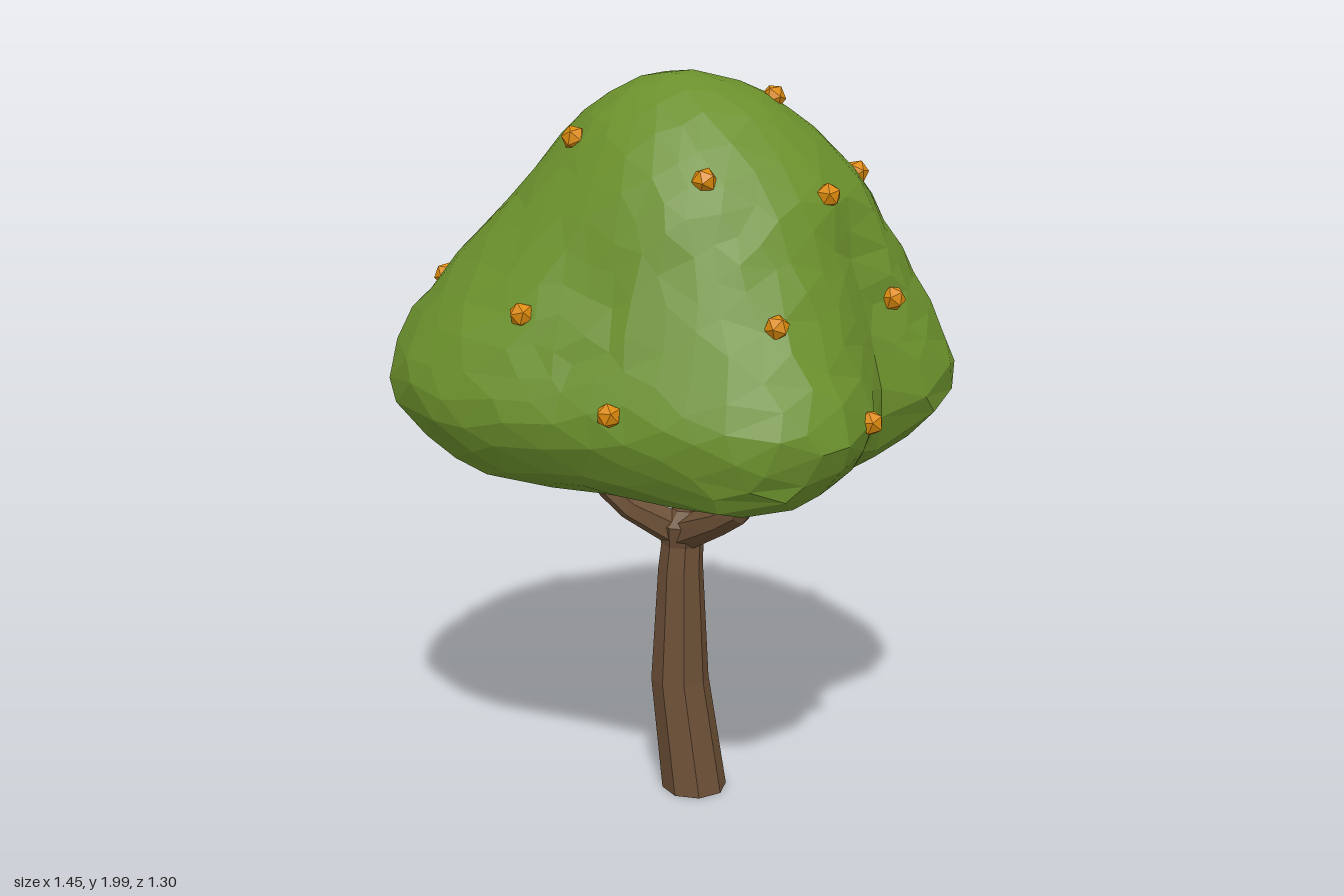
import * as THREE from 'three';
import { mergeVertices } from 'three/addons/utils/BufferGeometryUtils.js';

function flatColour(name, color) {
  const material = new THREE.MeshStandardMaterial({ color, flatShading: true });
  material.name = name;
  return material;
}
const leafGreen = flatColour('leafGreen', 0x6b902c);
const barkBrown = flatColour('barkBrown', 0x6b4f36);
const fruitOrange = flatColour('fruitOrange', 0xdc8a0c);

// Small seeded random generator, -0.5 to 0.5
function makeRandom(seed) {
  return () => {
    seed = (seed * 16807) % 2147483647;
    return seed / 2147483647 - 0.5;
  };
}

// Faceted limb through [x, y, z, radius] points, closed at both ends
function limb(name, points, sides, level = false) {
  const centres = points.map(p => new THREE.Vector3(p[0], p[1], p[2]));
  const up = new THREE.Vector3(0, 1, 0);
  const last = points.length - 1;
  const rings = [];
  points.forEach((p, i) => {
    const tangent = centres[Math.min(i + 1, last)].clone()
      .sub(centres[Math.max(i - 1, 0)]).normalize();
    const turn = new THREE.Quaternion();
    if (!level) turn.setFromUnitVectors(up, tangent);
    const ring = { centre: centres[i], radius: p[3], turn };
    if (i === 0) rings.push({ ...ring, radius: 0 });
    rings.push(ring);
    if (i === last) rings.push({ ...ring, radius: 0 });
  });
  const pos = [], index = [];
  rings.forEach((ring, i) => {
    for (let j = 0; j < sides; j++) {
      const a = ((j + 0.3) / sides) * Math.PI * 2;
      const v = new THREE.Vector3(Math.cos(a), 0, Math.sin(a)).multiplyScalar(ring.radius);
      pos.push(...v.applyQuaternion(ring.turn).add(ring.centre).toArray());
      if (i === 0) continue;
      const k = (j + 1) % sides, lo = (i - 1) * sides, hi = i * sides;
      index.push(lo + j, hi + j, lo + k, hi + j, hi + k, lo + k);
    }
  });
  const geo = new THREE.BufferGeometry();
  geo.setAttribute('position', new THREE.Float32BufferAttribute(pos, 3));
  geo.setIndex(index);
  geo.computeVertexNormals();
  const mesh = new THREE.Mesh(geo, barkBrown);
  mesh.name = name;
  return mesh;
}

// Three canopy outlines: radii at even angles from +x towards +z
const FLOOR = [.46, .47, .46, .57, .43, .40, .52, .53, .43, .31, .27, .34];
const WIDE = [
  .72, .74, .69, .56, .61, .66, .64, .58, .53, .515, .54, .61,
  .69, .75, .74, .70, .69, .66, .58, .57, .60, .63, .66, .69,
];
const CROWN = [.48, .46, .41, .35, .33, .32, .35, .39, .39, .36, .41, .45];

// Levels from bottom to top: an outline, its scale, its share of WIDE, extra share at the back
const LEVELS = [
  { y: 0.96, outline: FLOOR, scale: 0, wide: 0, back: 0 },
  { y: 0.94, outline: FLOOR, scale: 0.6, wide: 0, back: 0 },
  { y: 0.98, outline: FLOOR, scale: 1, wide: 0, back: 0 },
  { y: 1.05, outline: FLOOR, scale: 1, wide: 0.58, back: -0.1 },
  { y: 1.17, outline: FLOOR, scale: 1, wide: 1, back: -0.03 },
  { y: 1.30, outline: CROWN, scale: 1, wide: 0.91, back: 0.11 },
  { y: 1.44, outline: CROWN, scale: 1, wide: 0.64, back: 0.15 },
  { y: 1.58, outline: CROWN, scale: 1, wide: 0.33, back: 0.08 },
  { y: 1.72, outline: CROWN, scale: 1, wide: 0, back: 0 },
  { y: 1.87, outline: CROWN, scale: 0.67, wide: 0, back: 0 },
  { y: 1.96, outline: CROWN, scale: 0.35, wide: 0, back: 0 },
  { y: 2.00, outline: CROWN, scale: 0, wide: 0, back: 0 },
];
const TOP = LEVELS.length - 1;

// Catmull-Rom blend of four neighbours
function blend([a, b, c, d], t) {
  return b + 0.5 * t * (c - a + t * (2 * a - 5 * b + 4 * c - d + t * (3 * (b - c) + d - a)));
}

function outlineRadius(outline, angle) {
  const n = outline.length;
  const s = ((angle / (Math.PI * 2)) * n + 2 * n) % n;
  const i = Math.floor(s);
  return blend([-1, 0, 1, 2].map(k => outline[(i + k + n) % n]), s - i);
}

function levelRadius({ outline, scale, wide, back }, angle) {
  const share = wide - back * Math.sin(angle);
  return THREE.MathUtils.lerp(
    outlineRadius(outline, angle) * scale, outlineRadius(WIDE, angle), share);
}

// Canopy surface at an angle and a level number t
function canopyPoint(angle, t, bump = 1) {
  const i = Math.min(Math.floor(t), TOP - 1);
  const near = [-1, 0, 1, 2].map(k => LEVELS[THREE.MathUtils.clamp(i + k, 0, TOP)]);
  const r = Math.max(0, blend(near.map(l => levelRadius(l, angle)), t - i)) * bump;
  const y = Math.min(2, blend(near.map(l => l.y), t - i));
  return new THREE.Vector3(Math.cos(angle) * r, y, Math.sin(angle) * r);
}

// Jittered sphere directions mapped onto the canopy surface
function canopy() {
  let geo = new THREE.IcosahedronGeometry(1, 6);
  geo.deleteAttribute('normal');
  geo.deleteAttribute('uv');
  geo = mergeVertices(geo, 1e-4);
  const random = makeRandom(77);
  const p = geo.attributes.position;
  const v = new THREE.Vector3();
  for (let n = 0; n < p.count; n++) {
    v.fromBufferAttribute(p, n);
    v.x += random() * 0.08;
    v.y += random() * 0.08;
    v.z += random() * 0.08;
    v.normalize();
    const t = (Math.asin(v.y) / Math.PI + 0.5) * TOP;
    // Rougher above, smoother on the steep lower rim
    const rough = t > 5 ? 0.025 : 0.008;
    const q = canopyPoint(Math.atan2(v.z, v.x), t, 1 + random() * rough);
    p.setXYZ(n, q.x, q.y, q.z);
  }
  geo.computeVertexNormals();
  const mesh = new THREE.Mesh(geo, leafGreen);
  mesh.name = 'canopy';
  return mesh;
}

// Fruit positions on the canopy: height, then angles in degrees
const FRUIT_ROWS = [
  [1.18, 62],
  [1.22, 131],
  [1.43, 35, 84, 163, 216, 286, 349],
  [1.66, 243],
  [1.71, 6, 52, 319],
  [1.76, 100],
  [1.83, 186],
  [1.92, 13],
];

function fruits() {
  const group = new THREE.Group();
  group.name = 'fruits';
  const shape = new THREE.IcosahedronGeometry(0.033, 0);
  for (const [height, ...angles] of FRUIT_ROWS) {
    for (const degrees of angles) {
      const angle = THREE.MathUtils.degToRad(degrees);
      let t = 3;
      while (canopyPoint(angle, t).y < height) t += 0.02;
      const fruit = new THREE.Mesh(shape, fruitOrange);
      fruit.name = 'fruit';
      fruit.position.copy(canopyPoint(angle, t));
      fruit.rotation.set(degrees, height * 5, 0);
      group.add(fruit);
    }
  }
  return group;
}

export function createModel() {
  const tree = new THREE.Group();
  tree.name = 'fruitTree';

  // Trunk with a bent, tapering stem and a flared fork
  tree.add(limb('trunk', [
    [.05, 0, -.005, .09], [.02, .32, -.038, .08], [.025, .64, -.045, .062],
    [.03, .71, -.045, .058], [.035, .77, -.04, .072], [.04, .81, -.04, .04],
  ], 8, true));

  // Three branches reaching into the canopy
  tree.add(limb('rightBranch', [
    [.03, .74, -.04, .052], [-.11, .82, -.08, .036], [-.16, .87, -.10, .031], [-.23, .99, -.15, .026],
  ], 6));
  tree.add(limb('leftBranch', [
    [.04, .74, -.04, .052], [.22, .82, -.09, .036], [.29, .88, -.10, .032], [.37, 1.04, -.13, .028],
  ], 6));
  tree.add(limb('frontBranch', [
    [.03, .74, -.04, .052], [.07, .82, .13, .036], [.09, .86, .20, .031], [.14, .99, .29, .026],
  ], 6));

  tree.add(canopy(), fruits());
  return tree;
}
